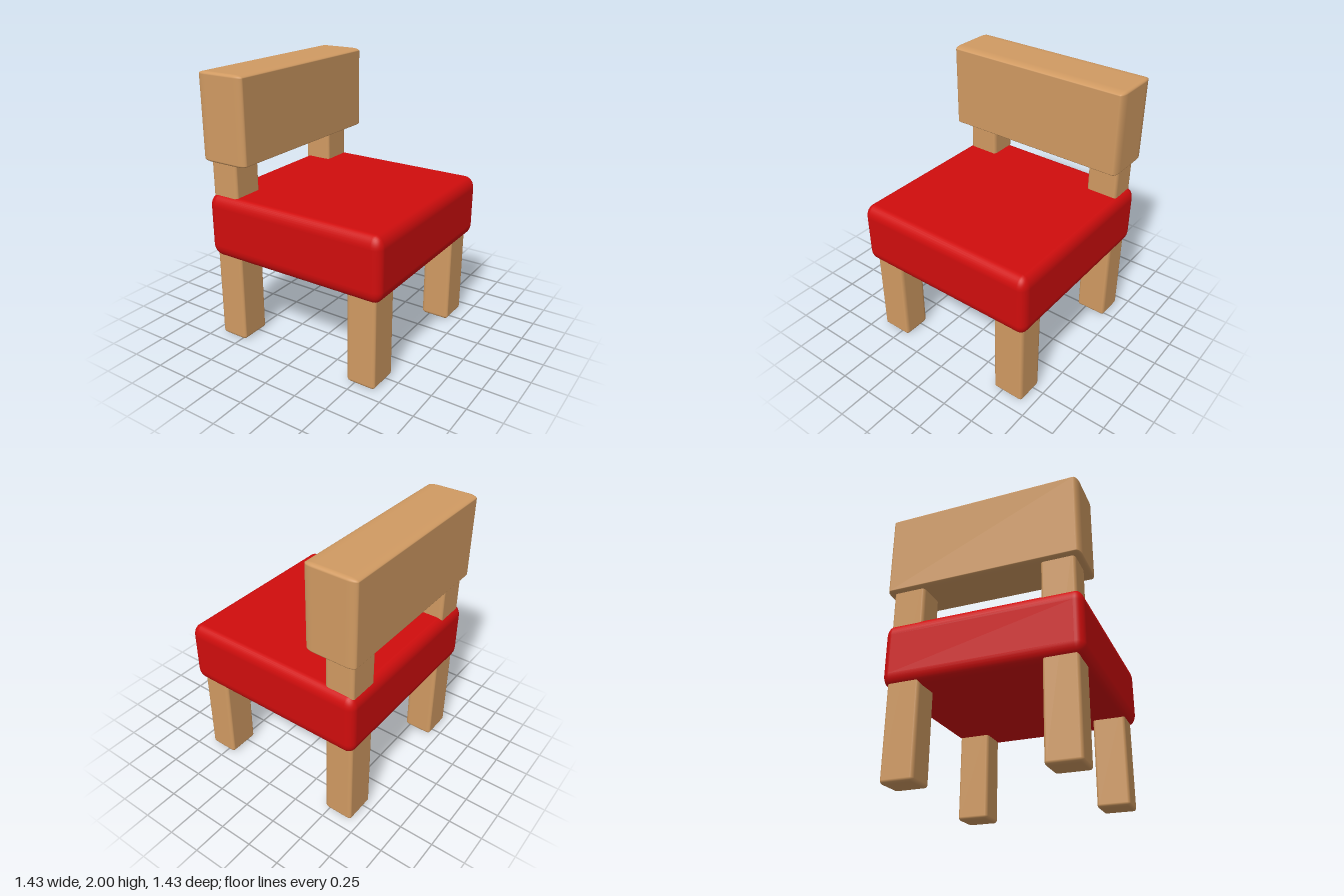
import * as THREE from 'three';
import { RoundedBoxGeometry } from 'three/addons/geometries/RoundedBoxGeometry.js';

const wood = new THREE.MeshStandardMaterial({ color: 0xd09a62 });
wood.name = 'wood';
const red = new THREE.MeshStandardMaterial({ color: 0xd00d0d });
red.name = 'red upholstery';

// Box between two corners, with a separate edge radius along each axis
function softBox(name, material, min, max, radii) {
  const size = max.map((v, i) => v - min[i]);
  const geometry = new RoundedBoxGeometry(...size.map((s, i) => s / radii[i]), 4, 1);
  geometry.scale(...radii);
  const mesh = new THREE.Mesh(geometry, material);
  mesh.name = name;
  mesh.position.set(...min.map((v, i) => (v + max[i]) / 2));
  return mesh;
}

export function createModel() {
  const chair = new THREE.Group();
  chair.name = 'chair';

  // Thick cushioned seat
  chair.add(softBox('seat', red, [-0.71, 0.66, -0.71], [0.71, 1.13, 0.71], [0.07, 0.09, 0.06]));

  // Block backrest along the -x edge
  chair.add(softBox('backrest', wood, [-0.72, 1.375, -0.715], [-0.34, 2, 0.715], [0.07, 0.02, 0.03]));

  // Short legs on the +x edge, tall posts under the backrest
  for (const side of [-1, 1]) {
    const z0 = side > 0 ? 0.43 : -0.67;
    const label = side > 0 ? 'Left' : 'Right';
    const radii = [0.03, 0.025, 0.02];
    chair.add(softBox('leg' + label, wood, [0.44, 0, z0], [0.66, 0.75, z0 + 0.24], radii));
    chair.add(softBox('backPost' + label, wood, [-0.685, 0, z0], [-0.465, 1.45, z0 + 0.24], radii));
  }
  return chair;
}
